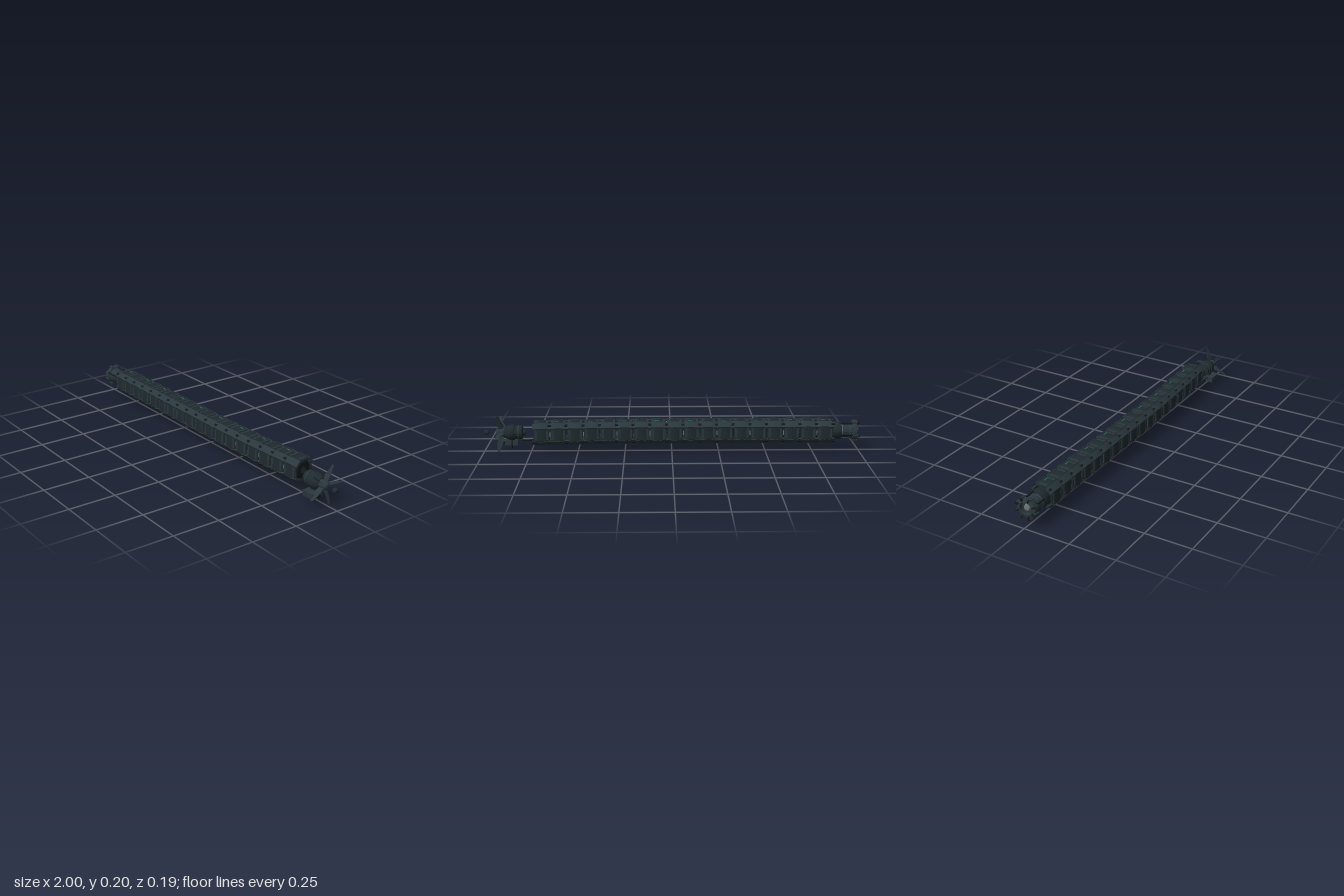
import * as THREE from 'three';

const mat = (color, side = THREE.FrontSide) =>
  new THREE.MeshStandardMaterial({ color, flatShading: true, side });
const DARK = mat(0x1f2a2e), MID = mat(0x2a373d), BLACK = mat(0x12181a);
const STEEL = mat(0x6a7378), TEAL = mat(0x1f7a68), BLADE = mat(0x2a373d, THREE.DoubleSide);
const CY = 0.11, PITCH = 0.0885, COUNT = 18, START = -0.858;

// gentle sideways bend of the body
const bendZ = x => 0.008 - (x > 0 ? 0.055 * x * x : 0);
const slope = x => (x > 0 ? -0.11 * x : 0);

function add(parent, name, geo, material, x = 0, y = 0, z = 0) {
  const m = new THREE.Mesh(geo, material);
  m.name = name;
  m.position.set(x, y, z);
  parent.add(m);
  return m;
}
function group(parent, name, x = 0, y = 0, z = 0) {
  const g = new THREE.Group();
  g.name = name;
  g.position.set(x, y, z);
  parent.add(g);
  return g;
}
// solid of revolution about x from [x, radius] pairs
const turned = (pts, sides = 16) =>
  new THREE.LatheGeometry(pts.map(([x, r]) => new THREE.Vector2(r, x)), sides).rotateZ(-Math.PI / 2);
const box = (x, y, z) => new THREE.BoxGeometry(x, y, z);
const tube = (pts, r, n = 12) =>
  new THREE.TubeGeometry(new THREE.CatmullRomCurve3(pts.map(p => new THREE.Vector3(...p))), n, r, 6);

// armour plate bulging along x, lying above the x axis at the given height
function plate(length, width, height, bulge, thick) {
  const s = new THREE.Shape(), n = 6, h = length / 2;
  const arc = t => bulge * (1 - (2 * t - 1) ** 2);
  s.moveTo(-h, height - thick);
  for (let i = 1; i <= n; i++) s.lineTo(-h + length * i / n, height - thick + arc(i / n));
  for (let i = n; i >= 0; i--) s.lineTo(-h + length * i / n, height + arc(i / n));
  s.closePath();
  return new THREE.ExtrudeGeometry(s, { depth: width, bevelEnabled: false }).translate(0, 0, -width / 2);
}

function buildBody(root) {
  const body = group(root, 'body');
  const barrel = turned([[-0.041, 0.02], [-0.041, 0.042], [-0.03, 0.05], [0.03, 0.05], [0.041, 0.042], [0.041, 0.02], [-0.041, 0.02]]);
  const facePlate = plate(0.083, 0.066, 0.053, 0.008, 0.008);
  const cornerPlate = plate(0.1, 0.036, 0.062, 0.007, 0.006);
  const rib = box(0.012, 0.006, 0.05);
  const lug = box(0.046, 0.012, 0.03);
  const pin = new THREE.CylinderGeometry(0.011, 0.011, 0.1, 10);
  const clip = box(0.016, 0.006, 0.01);
  for (let i = 0; i < COUNT; i++) {
    const x = START + (i + 0.5) * PITCH;
    const seg = group(body, 'segment', x, CY, bendZ(x));
    seg.rotation.y = -Math.atan(slope(x));
    add(seg, 'barrel', barrel, BLACK);
    for (let k = 0; k < 4; k++) {
      const side = group(seg, 'armourSide');
      side.rotation.x = k * Math.PI / 2;
      add(side, 'facePlate', facePlate, DARK);
      for (const e of [-1, 1]) add(side, 'plateRib', rib, MID, e * 0.03, 0.056, 0);
      const corner = group(seg, 'armourCorner');
      corner.rotation.x = (k + 0.5) * Math.PI / 2;
      const c = add(corner, 'cornerPlate', cornerPlate, MID);
      c.rotation.z = 0.04;
      add(corner, 'cableClip', clip, BLACK, -0.042, 0.066, 0);
    }
    if (i % 2 === 0) add(seg, 'marking', box(0.024, 0.002, 0.005), TEAL, 0.008, 0.061, -0.014);
    // hinge to the next segment, axes alternating between z and y
    if (i < COUNT - 1) {
      const hinge = group(seg, 'hinge', PITCH / 2, 0, 0);
      if (i % 2 === 0) hinge.rotation.x = Math.PI / 2;
      for (const e of [-1, 1]) {
        add(hinge, 'hingeLug', lug, DARK, 0, e * 0.036, 0);
        const p = add(hinge, 'hingePin', pin, STEEL, 0, e * 0.044, 0);
        p.scale.y = 0.14;
      }
    }
  }
  // hoses running the full length beside the corner plates
  for (let k = 0; k < 8; k++) {
    const a = Math.floor(k / 2) * Math.PI / 2 + (k % 2 ? 1 : -1) * 0.53, pts = [];
    for (let j = 0; j <= 36; j++) {
      const x = START + j * PITCH / 2, r = 0.065 + (j % 2 ? 0.003 : -0.003);
      pts.push([x, CY + r * Math.cos(a), bendZ(x) + r * Math.sin(a)]);
    }
    add(body, 'hose', tube(pts, 0.0025, 108), BLACK);
  }
}

function buildHead(root) {
  const head = group(root, 'head', 0, CY, 0.007);
  add(head, 'neck', turned([[-0.905, 0.02], [-0.905, 0.044], [-0.885, 0.048], [-0.855, 0.046], [-0.855, 0.02]]), DARK);
  add(head, 'neckRing', turned([[-0.912, 0.03], [-0.912, 0.038], [-0.903, 0.038], [-0.903, 0.03]]), STEEL);
  add(head, 'headBarrel', turned([[-0.968, 0], [-0.968, 0.043], [-0.955, 0.043], [-0.945, 0.037], [-0.91, 0.041], [-0.91, 0]]), MID);
  add(head, 'headRing', turned([[-0.962, 0.034], [-0.992, 0.034], [-0.992, 0.047], [-0.985, 0.052], [-0.968, 0.052], [-0.962, 0.034]].reverse().map(([x, r]) => [-1.954 - x, r]), 20), DARK)
    .material = BLADE;
  add(head, 'sensor', turned([[-0.985, 0], [-0.983, 0.014], [-0.966, 0.02], [-0.966, 0]]), STEEL);
  for (let k = 0; k < 8; k++) {
    const arm = group(head, 'headClaw');
    arm.rotation.x = (k + 0.5) * Math.PI / 4;
    add(arm, 'clawBase', box(0.03, 0.009, 0.014), MID, -0.978, 0.053, 0);
    const tip = add(arm, 'clawTip', box(0.014, 0.016, 0.006), BLACK, -0.993, 0.05, 0);
    tip.rotation.z = -0.15;
    if (k % 2) add(arm, 'headStrut', box(0.07, 0.006, 0.008), BLACK, -0.935, 0.045, 0);
  }
}

function buildTail(root) {
  const tail = group(root, 'tail', 0, 0.107, 0.005);
  add(tail, 'motor', turned([[0.778, 0], [0.778, 0.016], [0.79, 0.019], [0.796, 0.036], [0.835, 0.037],
    [0.838, 0.042], [0.858, 0.042], [0.875, 0.036], [0.892, 0.027], [0.892, 0]], 18), DARK);
  add(tail, 'motorBand', turned([[0.812, 0.03], [0.812, 0.039], [0.82, 0.039], [0.82, 0.03]], 18), MID);
  add(tail, 'propellerHub', turned([[0.89, 0], [0.89, 0.023], [0.925, 0.021], [0.936, 0.014], [0.938, 0]]), MID);
  // pump box slung below the motor
  const pump = add(tail, 'pumpBox', box(0.07, 0.03, 0.062), MID, 0.855, -0.058, 0.022);
  pump.rotation.x = 0.08;
  add(tail, 'pumpBracket', box(0.03, 0.03, 0.025), DARK, 0.852, -0.04, 0.01);
  add(tail, 'pumpCap', turned([[0.888, 0], [0.888, 0.013], [0.902, 0.01], [0.902, 0]], 10), BLACK, 0, -0.058, 0.02);
  add(tail, 'pumpLamp', box(0.004, 0.008, 0.004), TEAL, 0.892, -0.05, 0.012);
  add(tail, 'pumpHose', tube([[0.85, -0.05, 0.022], [0.85, -0.08, 0.01], [0.85, -0.08, -0.015], [0.85, -0.05, -0.032], [0.85, -0.025, -0.03]], 0.0025), BLACK);
  add(tail, 'feedHose', tube([[0.73, -0.04, 0.01], [0.765, -0.05, 0.015], [0.8, -0.05, 0.02], [0.84, -0.05, 0.02]], 0.003), BLACK);

  // five blades, broad along x and slightly swept around the axis
  const outline = new THREE.Shape();
  outline.moveTo(-0.012, 0.015);
  outline.lineTo(-0.021, 0.042);
  outline.quadraticCurveTo(-0.004, 0.07, 0.003, 0.105);
  outline.lineTo(0.015, 0.104);
  outline.quadraticCurveTo(0.02, 0.06, 0.011, 0.015);
  outline.closePath();
  const blade = new THREE.ExtrudeGeometry(outline, { depth: 0.0016, bevelEnabled: false, curveSegments: 6 });
  const p = blade.attributes.position;
  for (let i = 0; i < p.count; i++) p.setZ(i, p.getZ(i) - 1.2 * (p.getY(i) - 0.06) ** 2);
  blade.computeVertexNormals();
  const propeller = group(tail, 'propeller', 0.912, 0, 0);
  for (let k = 0; k < 5; k++) {
    add(propeller, 'blade', blade, BLADE).rotation.x = -0.38 + k * Math.PI * 0.4;
  }
  // shaft nut standing clear of the hub
  add(tail, 'shaftNut', turned([[0.974, 0], [0.974, 0.009], [0.978, 0.013], [0.992, 0.013], [1, 0.01], [1, 0]], 10), DARK);
}

export function createModel() {
  const model = new THREE.Group();
  model.name = 'segmentedSwimmer';
  buildBody(model);
  buildHead(model);
  buildTail(model);
  return model;
}
